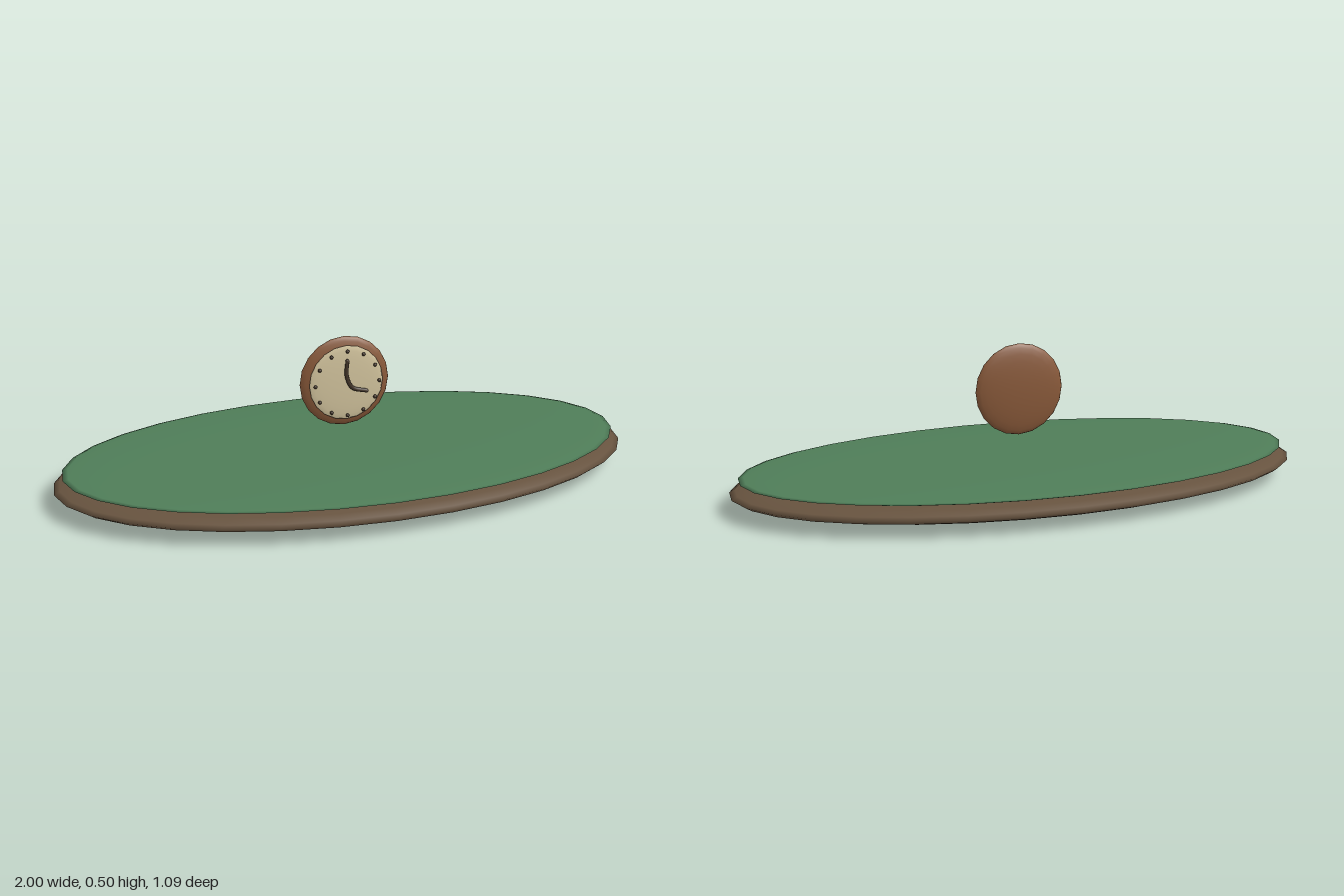
import * as THREE from 'three';

const mat = (name, color) => {
  const m = new THREE.MeshStandardMaterial({ color });
  m.name = name;
  return m;
};

export function createModel() {
  const darkWood = mat('dark wood', 0x67533f);
  const green = mat('green', 0x4f7d58);
  const warmWood = mat('warm wood', 0x8a5a3a);
  const cream = mat('cream', 0xd6c7a0);
  const ink = mat('dark brown', 0x44362a);

  const model = new THREE.Group();
  model.name = 'clockOnOvalBase';

  // Flattened sphere with its pole along y, baked into the geometry
  const lens = (parent, name, material, [rx, ry, rz], y, sides, rings) => {
    const geo = new THREE.SphereGeometry(1, sides, rings);
    geo.scale(rx, ry, rz);
    const mesh = new THREE.Mesh(geo, material);
    mesh.name = name;
    mesh.position.y = y;
    parent.add(mesh);
    return mesh;
  };

  // Oval base and its green top
  lens(model, 'base', darkWood, [1, 0.058, 0.545], 0.058, 32, 16);
  lens(model, 'greenTop', green, [0.97, 0.018, 0.524], 0.104, 32, 16);

  // Floating clock, its lenses turned to face the front
  const clock = new THREE.Group();
  clock.name = 'clock';
  clock.position.set(0, 0.345, -0.002);
  model.add(clock);

  const body = lens(clock, 'clockBody', warmWood, [0.157, 0.026, 0.157], 0, 20, 14);
  body.rotation.x = Math.PI / 2;
  const face = lens(clock, 'clockFace', cream, [0.13, 0.009, 0.13], 0, 20, 12);
  face.rotation.x = Math.PI / 2;
  face.position.z = 0.022;

  // Hour marks
  const markGeo = new THREE.SphereGeometry(0.0065, 8, 6);
  for (let i = 0; i < 12; i++) {
    const a = (i / 12) * Math.PI * 2;
    const mark = new THREE.Mesh(markGeo, ink);
    mark.name = 'hourMark' + (i + 1);
    mark.position.set(Math.sin(a) * 0.113, Math.cos(a) * 0.113, 0.036);
    clock.add(mark);
  }

  // Both hands as one bent rod with rounded ends
  const path = new THREE.CatmullRomCurve3([
    new THREE.Vector3(-0.004, 0.083, 0.046),
    new THREE.Vector3(-0.006, 0.03, 0.046),
    new THREE.Vector3(0.014, -0.012, 0.046),
    new THREE.Vector3(0.064, -0.028, 0.046),
  ]);
  const hands = new THREE.Mesh(new THREE.TubeGeometry(path, 20, 0.007, 8), ink);
  hands.name = 'hands';
  clock.add(hands);
  for (const t of [0, 1]) {
    const tip = new THREE.Mesh(new THREE.SphereGeometry(0.007, 8, 6), ink);
    tip.name = 'handTip';
    tip.position.copy(path.getPoint(t));
    clock.add(tip);
  }

  return model;
}
